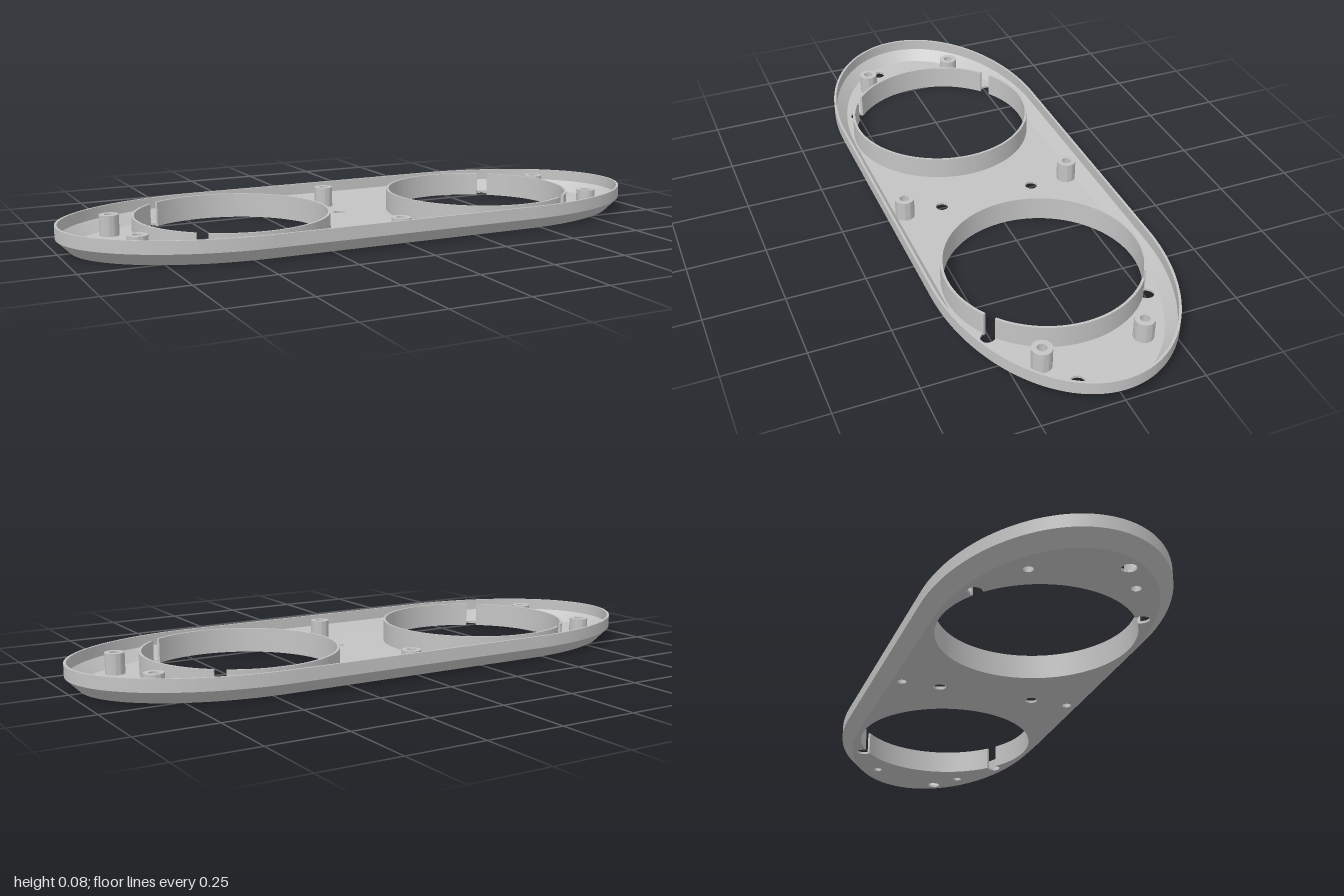
import * as THREE from 'three';
import { toCreasedNormals } from 'three/addons/utils/BufferGeometryUtils.js';

const WALL = 0.008, HEIGHT = 0.08;
const RING_X = 0.45, RING_OUT = 0.311, RING_IN = 0.303;
const NOTCH_ANGLE = 0.935, NOTCH_DIST = 0.321, NOTCH_R = 0.021;
const SEG = 128;

// Rounded tray outline (straight sides, elliptical ends), inset by d
function outline(d) {
  const pts = [];
  for (let side = 0; side < 2; side++) {
    const s = side ? -1 : 1;
    for (let i = 0; i <= SEG / 2; i++) {
      const a = -Math.PI / 2 + (i / (SEG / 2)) * Math.PI;
      pts.push(new THREE.Vector2(s * (0.45 + (0.55 - d) * Math.cos(a)), s * (0.36 - d) * Math.sin(a)));
    }
  }
  return pts;
}

// Extrude a plan shape upward from y0 to y1
function slab(shape, y0, y1) {
  const g = new THREE.ExtrudeGeometry(shape, { depth: y1 - y0, bevelEnabled: false, curveSegments: 24 });
  g.rotateX(-Math.PI / 2);
  g.translate(0, y0, 0);
  return toCreasedNormals(g, 0.5);
}

function circlePath(x, z, r) {
  return new THREE.Path().absarc(x, -z, r, 0, Math.PI * 2, true);
}

// Large opening with two round notches on its outer side
function notchedOpening(side) {
  const pts = [], n = 360;
  for (let i = 0; i < n; i++) {
    const a = -Math.PI + (i / n) * Math.PI * 2;
    const off = Math.abs(a) - NOTCH_ANGLE;
    const h = NOTCH_DIST * Math.sin(off);
    let r = RING_IN;
    if (Math.abs(off) < 1 && Math.abs(h) < NOTCH_R) {
      r = NOTCH_DIST * Math.cos(off) + Math.sqrt(NOTCH_R ** 2 - h * h);
    }
    pts.push(new THREE.Vector2(side * (RING_X + r * Math.cos(a)), r * Math.sin(a)));
  }
  return new THREE.Path(pts);
}

// Sloped and upright rim swept from a closed cross-section of [inset, y]
function rimGeometry() {
  const profile = [[0.04, 0], [0, 0.04], [0, HEIGHT], [WALL, HEIGHT], [WALL, 0.043], [0.043, WALL]];
  const loops = profile.map(([d, y]) => outline(d).map(p => [p.x, y, -p.y]));
  const pos = [];
  for (let k = 0; k < loops.length - 1; k++) {
    const lo = loops[k], hi = loops[k + 1], n = lo.length;
    for (let i = 0; i < n; i++) {
      const j = (i + 1) % n;
      pos.push(...lo[i], ...lo[j], ...hi[j], ...lo[i], ...hi[j], ...hi[i]);
    }
  }
  const g = new THREE.BufferGeometry();
  g.setAttribute('position', new THREE.Float32BufferAttribute(pos, 3));
  return toCreasedNormals(g, 0.5);
}

export function createModel() {
  const model = new THREE.Group();
  model.name = 'tray';
  const grey = new THREE.MeshStandardMaterial({ color: 0xc4c4c4 });
  grey.name = 'light grey';
  const add = (name, geometry, x = 0, z = 0) => {
    const mesh = new THREE.Mesh(geometry, grey);
    mesh.name = name;
    mesh.position.set(x, 0, z);
    model.add(mesh);
  };

  const posts = [[0, -0.288], [0, 0.288]];
  const holes = [[0, -0.16, 0.02], [0, 0.16, 0.02]];
  for (const s of [-1, 1]) {
    posts.push([s * 0.8, -0.16], [s * 0.8, 0.16]);
    holes.push([s * 0.895, 0.093, 0.022]);
  }

  // Floor with openings, drain holes and screw holes
  const floor = new THREE.Shape(outline(0.04));
  floor.holes.push(notchedOpening(-1), notchedOpening(1));
  holes.forEach(([x, z, r]) => floor.holes.push(circlePath(x, z, r)));
  posts.forEach(([x, z]) => floor.holes.push(circlePath(x, z, 0.015)));
  add('floor', slab(floor, 0, WALL));

  add('rim', rimGeometry());

  // Collars around the openings, split by the notches
  const gap = 0.06;
  const arcs = [
    [-NOTCH_ANGLE + gap, NOTCH_ANGLE - gap],
    [NOTCH_ANGLE + gap, Math.PI * 2 - NOTCH_ANGLE - gap],
  ];
  for (const s of [-1, 1]) {
    for (const [a, b] of arcs) {
      const turn = s < 0 ? Math.PI : 0;
      const arc = new THREE.Shape();
      arc.absarc(0, 0, RING_OUT, a + turn, b + turn, false);
      arc.absarc(0, 0, RING_IN, b + turn, a + turn, true);
      const g = new THREE.ExtrudeGeometry(arc, { depth: HEIGHT, bevelEnabled: false, curveSegments: 72 });
      g.rotateX(-Math.PI / 2);
      add(s < 0 ? 'rightCollar' : 'leftCollar', toCreasedNormals(g, 0.5), s * RING_X, 0);
    }
  }

  // Hollow screw posts
  const postShape = new THREE.Shape().absarc(0, 0, 0.031, 0, Math.PI * 2, false);
  postShape.holes.push(circlePath(0, 0, 0.015));
  const postGeometry = slab(postShape, WALL, 0.075);
  posts.forEach(([x, z]) => add('screwPost', postGeometry, x, z));

  return model;
}
